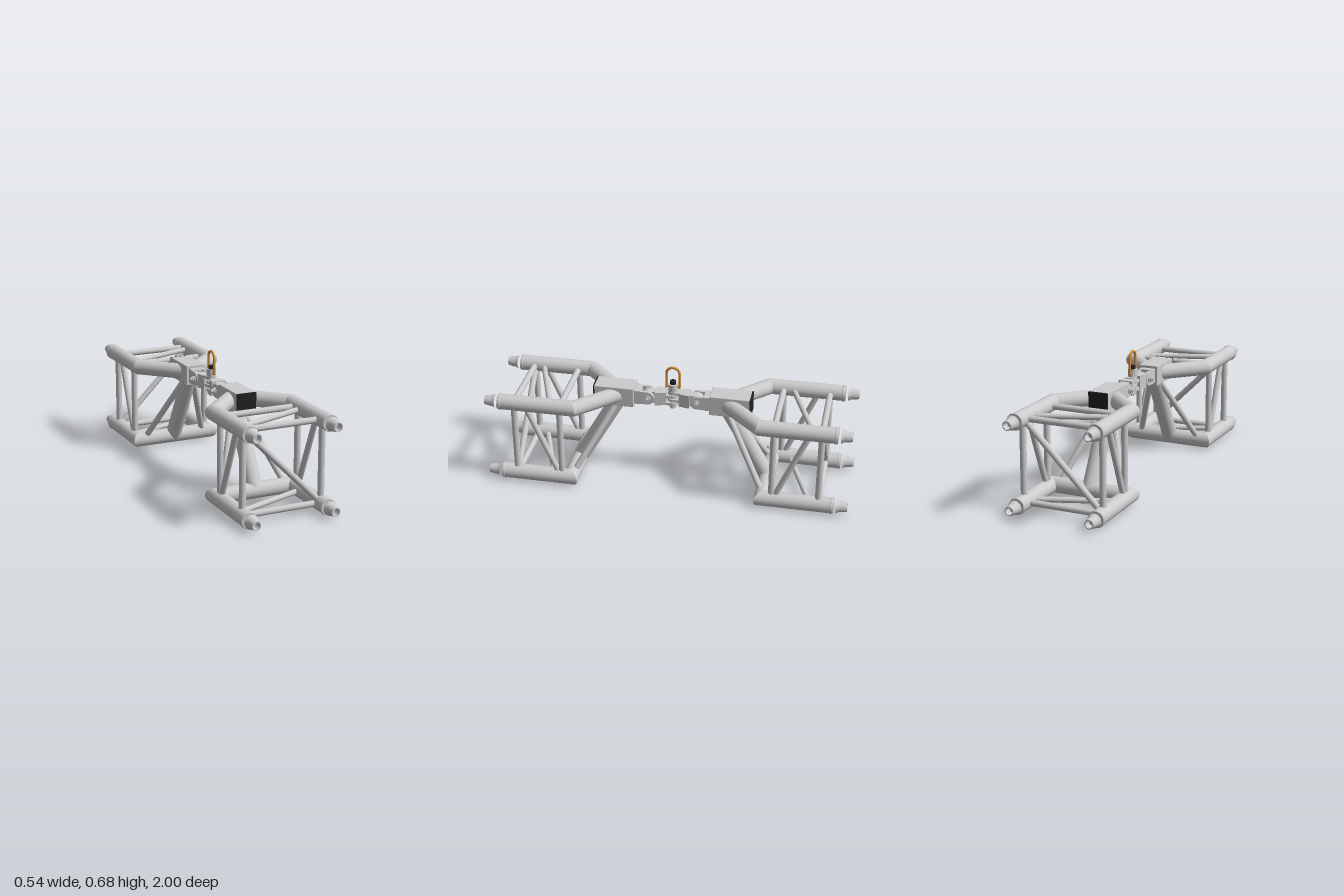
import * as THREE from 'three';
import { RoundedBoxGeometry } from 'three/addons/geometries/RoundedBoxGeometry.js';

const V = (x, y, z) => new THREE.Vector3(x, y, z);
const grey = new THREE.MeshStandardMaterial({ color: 0xcccccc });
const black = new THREE.MeshStandardMaterial({ color: 0x222222 });
const orange = new THREE.MeshStandardMaterial({ color: 0xd88f3c });

const TOP = 0.49, LOW = 0.045, X = 0.223, R = 0.043, THIN = 0.017;

function add(parent, name, geometry, material = grey) {
  const mesh = new THREE.Mesh(geometry, material);
  mesh.name = name;
  parent.add(mesh);
  return mesh;
}

// Straight tube from a to b; optional mitre plane normals cut the ends
function tube(a, b, r, na, nb, sides = 32) {
  const dir = b.clone().sub(a), len = dir.length();
  dir.normalize();
  const g = new THREE.CylinderGeometry(r, r, len, sides);
  g.translate(0, len / 2, 0);
  g.applyQuaternion(new THREE.Quaternion().setFromUnitVectors(V(0, 1, 0), dir));
  g.translate(a.x, a.y, a.z);
  const p = g.attributes.position, v = V(0, 0, 0);
  for (let i = 0; i < p.count; i++) {
    v.fromBufferAttribute(p, i);
    const atStart = v.clone().sub(a).dot(dir) < len / 2;
    const end = atStart ? a : b, n = (atStart ? na : nb) || dir;
    v.addScaledVector(dir, -v.clone().sub(end).dot(n) / dir.dot(n));
    p.setXYZ(i, v.x, v.y, v.z);
  }
  return g;
}

// Chain of tubes with mitred corners
function pipe(parent, name, points, r) {
  const dirs = points.slice(1).map((p, i) => p.clone().sub(points[i]).normalize());
  const mitre = i => dirs[i - 1] && dirs[i] ? dirs[i - 1].clone().add(dirs[i]).normalize() : undefined;
  dirs.forEach((d, i) => add(parent, name, tube(points[i], points[i + 1], r, mitre(i), mitre(i + 1))));
}

function box(parent, name, w, h, d, x, y, z, material = grey, radius = 0.004) {
  const m = add(parent, name, new RoundedBoxGeometry(w, h, d, 2, radius), material);
  m.position.set(x, y, z);
  return m;
}

// Plate drawn in the side plane (z, y), round about (zc, TOP), running to zEnd
function eyePlate(zc, r, zEnd, x, width) {
  const s = new THREE.Shape(), out = zEnd > zc;
  s.moveTo(zEnd, -r);
  s.lineTo(zc, -r);
  s.absarc(zc, 0, r, -Math.PI / 2, Math.PI / 2, out);
  s.lineTo(zEnd, r);
  s.closePath();
  const g = new THREE.ExtrudeGeometry(s, { depth: width, bevelEnabled: false, curveSegments: 20 });
  g.translate(0, 0, -width / 2);
  g.rotateY(-Math.PI / 2);
  g.translate(x, TOP, 0);
  return g;
}

// Stepped, hollow spigot at a chord end
function connector(parent, x, y) {
  const steps = [
    [[0.043, 0], [0.0455, 0.002], [0.0455, 0.01], [0.043, 0.012]],
    [[0.038, 0.015], [0.036, 0.024], [0.031, 0.025], [0.031, 0.04], [0.0245, 0.075]],
    [[0.0245, 0.075], [0.02, 0.075]],
    [[0.02, 0.075], [0.019, 0.035]],
    [[0.019, 0.035], [0, 0.035]],
  ];
  for (const s of steps) {
    const g = new THREE.LatheGeometry(s.map(([r, h]) => new THREE.Vector2(r, h)), 32);
    g.rotateX(Math.PI / 2);
    add(parent, 'chordConnector', g).position.set(x, y, s === steps[0] ? 0.907 : 0.925);
  }
}

function trussHalf(name) {
  const h = new THREE.Group();
  h.name = name;

  // Main chords and lower U frame
  pipe(h, 'lowerFrame', [V(-X, LOW, 0.925), V(-X, LOW, 0.535), V(X, LOW, 0.535), V(X, LOW, 0.925)], R);
  for (const s of [-1, 1]) {
    pipe(h, 'upperChord', [V(s * X, TOP, 0.925), V(s * X, TOP, 0.508), V(s * 0.02, TOP, 0.3)], R);
    for (const y of [LOW, TOP]) connector(h, s * X, y);
    // Side lacing
    for (const z of [0.585, 0.84]) add(h, 'sidePost', tube(V(s * X, LOW, z), V(s * X, TOP, z), 0.0175));
    add(h, 'sideBrace', tube(V(s * X, 0.06, 0.6), V(s * X, 0.48, 0.778), THIN - 0.001));
    // Thin braces from the lower corners to the head
    add(h, 'headBrace', tube(V(s * 0.18, 0.06, 0.525), V(s * 0.02, 0.455, 0.3), THIN));
  }
  add(h, 'centreStrut', tube(V(0, LOW, 0.535), V(0, 0.455, 0.302), 0.044));

  // Cross bars and diagonals
  add(h, 'topInnerBar', tube(V(-X, TOP, 0.585), V(X, TOP, 0.585), THIN));
  for (const y of [LOW, TOP]) {
    add(h, 'crossBar', tube(V(-X, y, 0.84), V(X, y, 0.84), THIN));
    add(h, 'planBrace', tube(V(-0.2, y, 0.787), V(0.2, y, 0.641), THIN - 0.002));
  }
  add(h, 'endDiagonal', tube(V(-0.21, 0.48, 0.84), V(0.21, 0.06, 0.84), THIN));

  // Head box with dark end cap
  box(h, 'headBox', 0.112, 0.114, 0.222, 0, TOP, 0.321);
  box(h, 'endCap', 0.113, 0.115, 0.01, 0, TOP, 0.432, black);

  // Hinge: outer cheeks, inner tongue, cross bolt
  box(h, 'hingeBase', 0.084, 0.084, 0.04, 0, TOP, 0.193);
  for (const s of [-1, 1]) {
    add(h, 'hingeCheek', eyePlate(0.137, 0.038, 0.2, s * 0.033, 0.018));
    add(h, 'boltWasher', tube(V(s * 0.042, TOP, 0.135), V(s * 0.047, TOP, 0.135), 0.02));
    add(h, 'boltHead', tube(V(s * 0.047, TOP, 0.135), V(s * 0.057, TOP, 0.135), 0.016, null, null, 6));
  }
  add(h, 'hingeBolt', tube(V(-0.068, TOP, 0.135), V(0.068, TOP, 0.135), 0.0095, null, null, 20));
  add(h, 'linkTongue', eyePlate(0.135, 0.034, 0.07, 0, 0.046));

  // Link body, tapering in plan towards the middle
  const plan = new THREE.Shape();
  plan.moveTo(-0.04, -0.095);
  plan.lineTo(0.04, -0.095);
  plan.lineTo(0.028, -0.035);
  plan.lineTo(-0.028, -0.035);
  plan.closePath();
  const body = new THREE.ExtrudeGeometry(plan, { depth: 0.078, bevelEnabled: false });
  body.rotateX(-Math.PI / 2);
  add(h, 'linkBody', body).position.y = TOP - 0.039;
  return h;
}

export function createModel() {
  const model = new THREE.Group();
  model.name = 'hingedTruss';
  const front = trussHalf('frontTruss'), back = trussHalf('backTruss');
  back.rotation.y = Math.PI;
  model.add(front, back);

  // Interleaved knuckle plates on the vertical pivot
  [0.459, 0.481, 0.503, 0.525].forEach((y, i) => {
    const s = i % 2 ? -1 : 1;
    add(model, 'knucklePlate', tube(V(0, y - 0.008, 0), V(0, y + 0.008, 0), 0.028));
    box(model, 'knuckleArm', 0.054, 0.016, 0.045, 0, y, s * 0.022, grey, 0.001);
  });
  add(model, 'pivotBolt', tube(V(0, 0.425, 0), V(0, 0.575, 0), 0.014));
  add(model, 'pivotNut', tube(V(0, 0.432, 0), V(0, 0.45, 0), 0.021, null, null, 6));
  add(model, 'pivotCollar', tube(V(0, 0.533, 0), V(0, 0.576, 0), 0.026));
  add(model, 'lockNut', tube(V(0, 0.574, 0), V(0, 0.594, 0), 0.017, null, null, 12), black);

  // Lifting loop
  const loop = new THREE.CurvePath();
  const arc = [];
  for (let i = 0; i <= 12; i++) {
    const a = Math.PI * i / 12;
    arc.push(V(0, 0.638 + 0.036 * Math.sin(a), 0.036 * Math.cos(a)));
  }
  loop.add(new THREE.LineCurve3(V(0, 0.556, 0.036), arc[0]));
  loop.add(new THREE.CatmullRomCurve3(arc));
  loop.add(new THREE.LineCurve3(arc[12], V(0, 0.556, -0.036)));
  add(model, 'liftingLoop', new THREE.TubeGeometry(loop, 64, 0.007, 14), orange);
  for (const s of [-1, 1]) {
    add(model, 'loopEnd', new THREE.SphereGeometry(0.008, 16, 12), orange).position.set(0, 0.556, s * 0.036);
  }
  add(model, 'loopPin', tube(V(0, 0.558, -0.036), V(0, 0.558, 0.036), 0.006), orange);
  return model;
}
